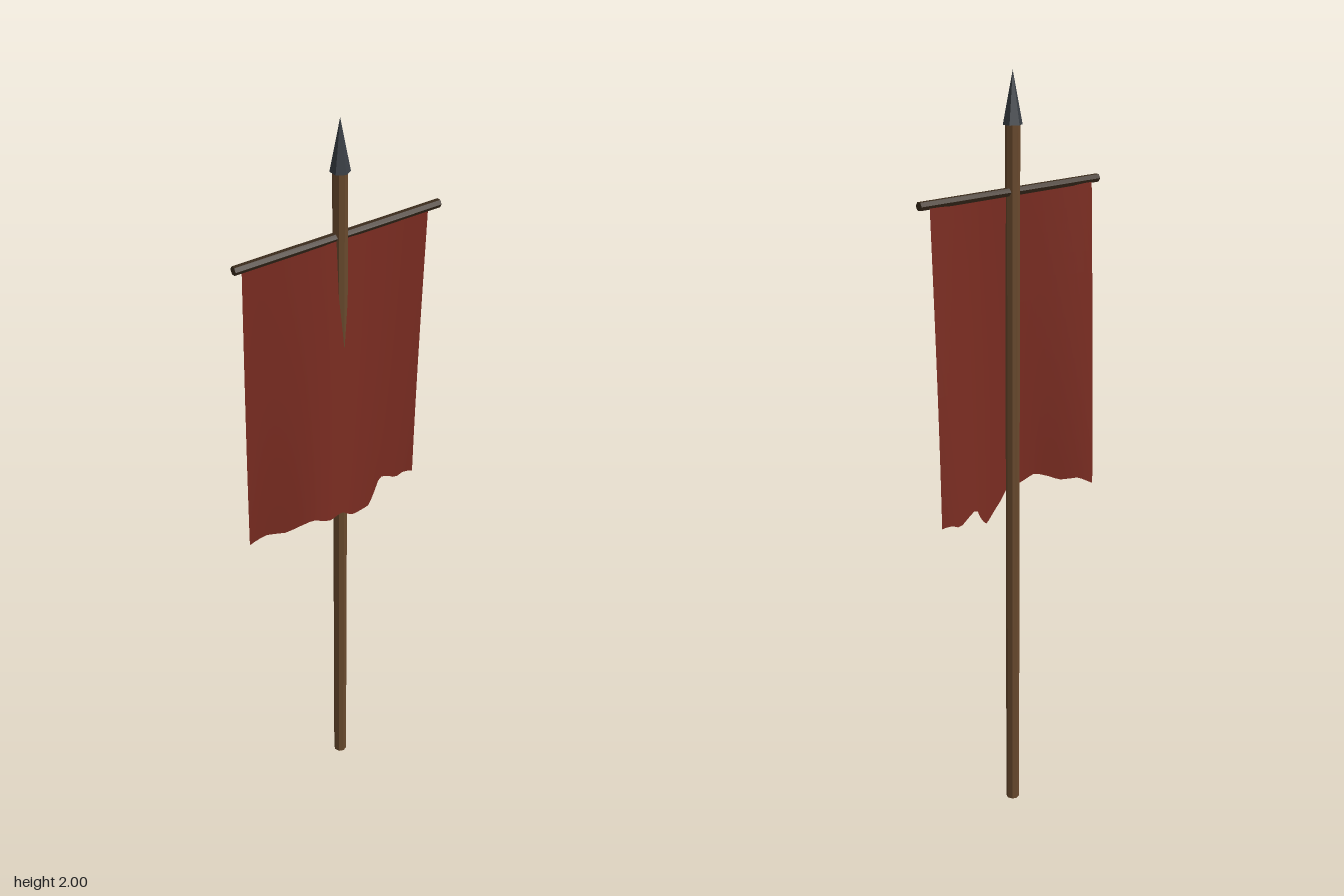
import * as THREE from 'three';

const mat = (name, color) => {
  const m = new THREE.MeshStandardMaterial({ color });
  m.name = name;
  return m;
};

export function createModel() {
  const wood = mat('pole wood', 0x68492d);
  const darkWood = mat('dark crossbar wood', 0x3b2c1d);
  const iron = mat('dark iron', 0x3a3f45);
  const cloth = mat('red cloth', 0x7a2c21);
  wood.flatShading = darkWood.flatShading = iron.flatShading = true;
  cloth.side = THREE.DoubleSide;

  const group = new THREE.Group();
  group.name = 'banner';
  const add = (name, geometry, material, y) => {
    const mesh = new THREE.Mesh(geometry, material);
    mesh.name = name;
    mesh.position.y = y;
    group.add(mesh);
    return mesh;
  };

  // Upright pole, spear point and crossbar
  add('pole', new THREE.CylinderGeometry(0.018, 0.018, 1.88, 8), wood, 0.94);
  add('spearTip', new THREE.ConeGeometry(0.024, 0.125, 6), iron, 1.9375);
  const bar = new THREE.CylinderGeometry(0.011, 0.011, 0.572, 6).rotateZ(Math.PI / 2);
  add('crossbar', bar, darkWood, 1.718);

  // Ragged hem as x, y points
  const hem = [[-0.26, 0.902], [-0.22, 0.925], [-0.17, 0.925], [-0.14, 0.94], [-0.105, 0.953],
    [-0.06, 0.935], [-0.02, 0.945], [0.02, 0.91], [0.06, 0.895], [0.1, 0.88], [0.125, 0.9],
    [0.15, 0.942], [0.18, 0.93], [0.21, 0.91], [0.235, 0.922], [0.26, 0.918]];
  const hemAt = (x) => {
    let i = 0;
    while (i < hem.length - 2 && x > hem[i + 1][0]) i++;
    const [a, b] = [hem[i], hem[i + 1]];
    return THREE.MathUtils.lerp(a[1], b[1], (x - a[0]) / (b[0] - a[0]));
  };

  // Hanging cloth: folds deepen towards the hem
  const top = 1.712;
  const sheet = new THREE.PlaneGeometry(0.52, 1, 36, 14);
  const p = sheet.attributes.position;
  for (let i = 0; i < p.count; i++) {
    const x = p.getX(i);
    const t = 0.5 - p.getY(i);
    const depth = 0.007 + 0.031 * t;
    p.setY(i, THREE.MathUtils.lerp(top, hemAt(x), t));
    p.setZ(i, depth * Math.cos(12.5 * (x + 0.05 * t)));
  }
  sheet.computeVertexNormals();
  add('cloth', sheet, cloth, 0);

  return group;
}
